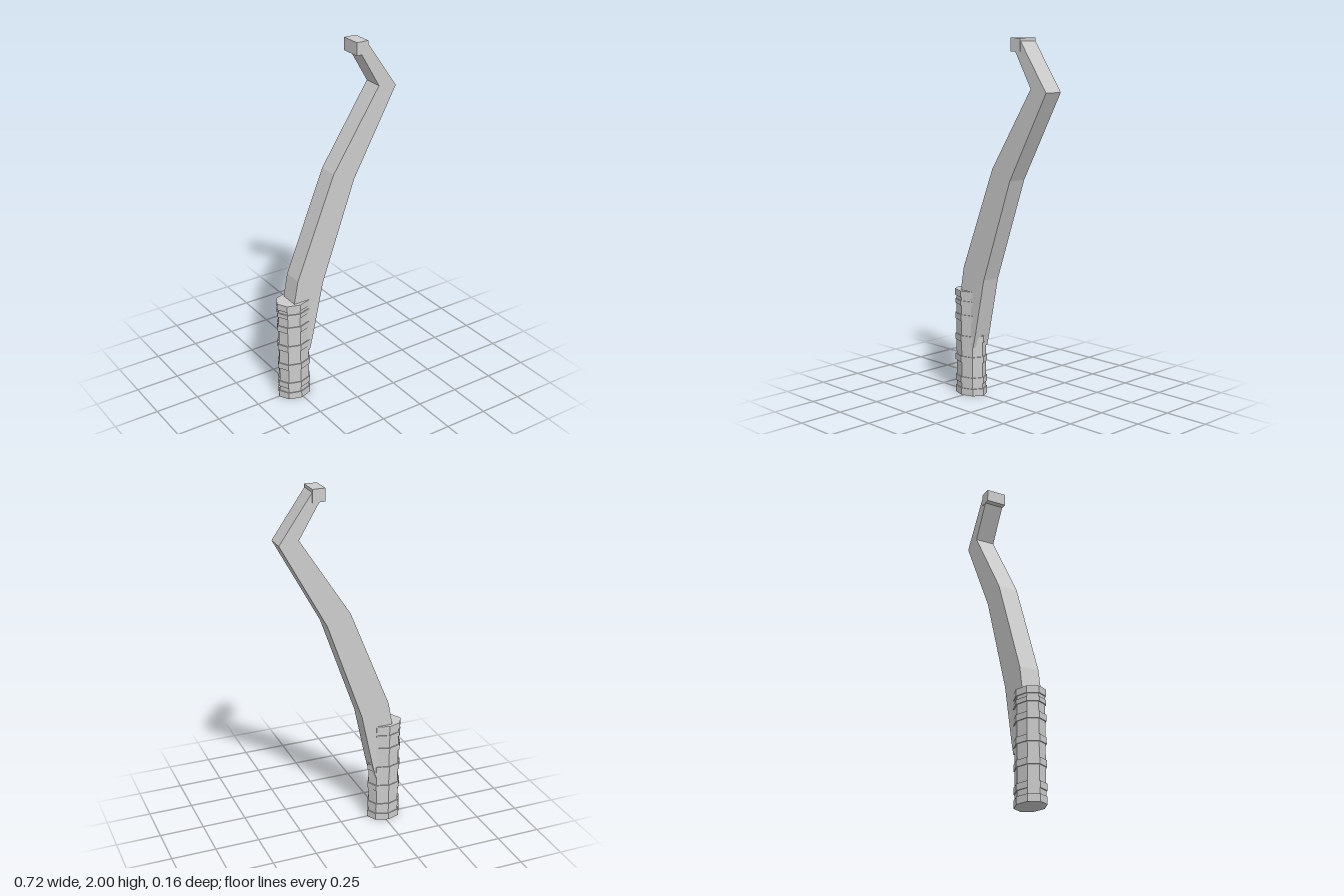
import * as THREE from 'three';

export function createModel() {
  const model = new THREE.Group();
  const material = new THREE.MeshStandardMaterial({ color: 0xcccccc, flatShading: true });
  const add = (name, geometry) => {
    const mesh = new THREE.Mesh(geometry, material);
    mesh.name = name;
    model.add(mesh);
    return mesh;
  };

  // Octagonal grip, flattened in depth, with slightly raised bands
  const core = 0.093, band = 0.1;
  const bands = [[0, 0.04], [0.07, 0.105], [0.19, 0.225], [0.31, 0.345], [0.43, 0.465], [0.52, 0.545], [0.565, 0.602]];
  const profile = [new THREE.Vector2(0, 0)];
  bands.forEach(([low, high], i) => {
    if (i > 0) profile.push(new THREE.Vector2(core, low));
    profile.push(new THREE.Vector2(band, low), new THREE.Vector2(band, high));
    if (i < bands.length - 1) profile.push(new THREE.Vector2(core, high));
  });
  profile.push(new THREE.Vector2(0, 0.602));
  const grip = add('grip', new THREE.LatheGeometry(profile, 8));
  grip.scale.z = 0.79;
  grip.position.x = -0.263;

  // Bent shaft, a flat outline extruded in depth
  const outline = [
    [-0.19, 0.28], [-0.17, 0.36], [-0.102, 0.68], [0.1, 1.25], [0.36, 1.725], [0.177, 1.985],
    [0.14, 1.93], [0.252, 1.742], [-0.032, 1.305], [-0.262, 0.735], [-0.287, 0.6], [-0.25, 0.3],
  ].map(([x, y]) => new THREE.Vector2(x, y));
  const depth = 0.11;
  const shaft = add('shaft', new THREE.ExtrudeGeometry(new THREE.Shape(outline), { depth, bevelEnabled: false }));
  shaft.position.z = -depth / 2;

  // Small block at the tip
  const tip = add('tip', new THREE.BoxGeometry(0.07, 0.07, 0.114));
  tip.position.set(0.143, 1.965, 0);

  return model;
}
